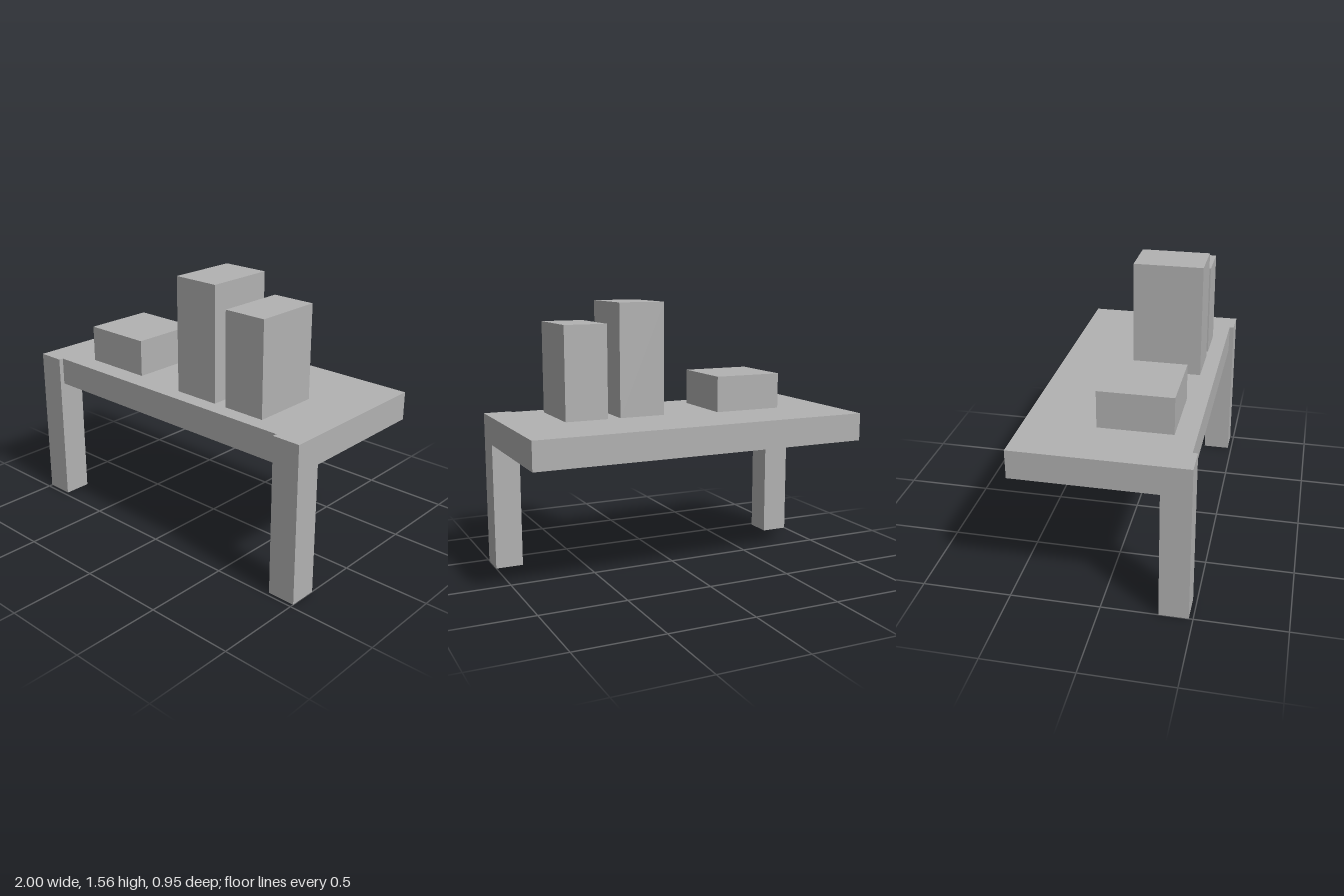
import * as THREE from 'three';

export function createModel() {
  const group = new THREE.Group();
  const grey = new THREE.MeshStandardMaterial({ color: 0xb2b2b2 });
  grey.name = 'grey';

  // Box given by its extents along each axis
  function block(name, [x0, x1], [y0, y1], [z0, z1]) {
    const mesh = new THREE.Mesh(new THREE.BoxGeometry(x1 - x0, y1 - y0, z1 - z0), grey);
    mesh.position.set((x0 + x1) / 2, (y0 + y1) / 2, (z0 + z1) / 2);
    mesh.name = name;
    group.add(mesh);
  }

  const top = 0.907;

  // Thick table slab
  block('tableTop', [-1, 1], [0.745, top], [-0.477, 0.45]);

  // Two front legs, standing slightly proud of the slab's front edge
  block('leftLeg', [0.838, 1], [0, top], [0.315, 0.477]);
  block('rightLeg', [-1, -0.838], [0, top], [0.315, 0.477]);

  // Objects standing on the table
  block('lowBox', [-0.675, -0.26], [top, 1.118], [-0.081, 0.332]);
  block('tallBox', [0.068, 0.342], [top, 1.56], [-0.035, 0.361]);
  block('mediumBox', [0.417, 0.67], [top, 1.444], [-0.035, 0.361]);

  return group;
}
